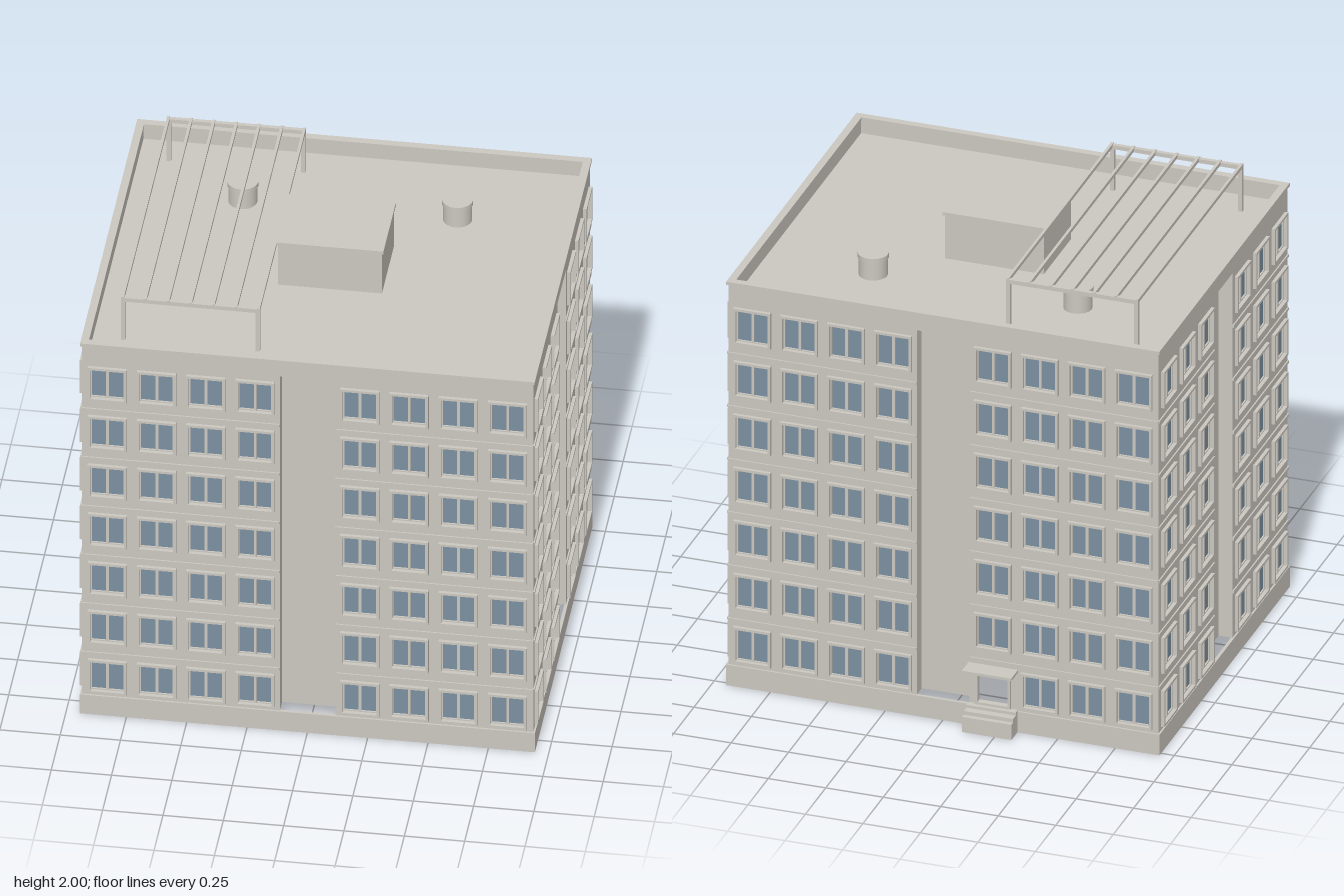
import * as THREE from 'three';
import { mergeGeometries } from 'three/addons/utils/BufferGeometryUtils.js';

const HX = 0.935, HZ = 0.795, CZ = 0.033;      // wall half sizes and z centre
const BASE = 0.095, TOP = 1.86, DECK = 1.785;
const RECESS = { w: 0.23, top: 1.775, depth: 0.06 };
const FLOORS = Array.from({ length: 7 }, (_, i) => 0.193 + i * 0.245);

const wallMat = new THREE.MeshStandardMaterial({ color: 0xcbc7c0 });
wallMat.name = 'warm grey concrete';
const glassMat = new THREE.MeshStandardMaterial({ color: 0x7b90a0 });
glassMat.name = 'blue grey glass';

function add(parent, name, geo, mat = wallMat) {
  const m = new THREE.Mesh(geo, mat);
  m.name = name;
  parent.add(m);
  return m;
}

// Box given by its min and max corners
function span(x0, x1, y0, y1, z0, z1) {
  return new THREE.BoxGeometry(x1 - x0, y1 - y0, z1 - z0)
    .translate((x0 + x1) / 2, (y0 + y1) / 2, (z0 + z1) / 2);
}

function rect(Type, x, y, w, h) {
  return new Type([[-1, -1], [1, -1], [1, 1], [-1, 1]]
    .map(([a, b]) => new THREE.Vector2(x + a * w / 2, y + b * h / 2)));
}

// Rectangular ring, extruded from z0 to z1
function ring(w, h, t, z0, z1) {
  const s = rect(THREE.Shape, 0, 0, w, h);
  s.holes.push(rect(THREE.Path, 0, 0, w - 2 * t, h - 2 * t));
  return new THREE.ExtrudeGeometry(s, { depth: z1 - z0, bevelEnabled: false }).translate(0, 0, z0);
}

// One facade, outer face on local z = 0, facing +z
function makeFacade(name, half, columns, doorX) {
  const g = new THREE.Group();
  g.name = name;
  const r = RECESS.w / 2, d = RECESS.depth;
  const shape = new THREE.Shape([
    [-half, BASE], [-r, BASE], [-r, RECESS.top], [r, RECESS.top],
    [r, BASE], [half, BASE], [half, TOP], [-half, TOP],
  ].map(p => new THREE.Vector2(...p)));

  const surround = ring(0.162, 0.166, 0.011, -0.018, 0.015);
  const sash = ring(0.142, 0.146, 0.006, -0.012, -0.002);
  const mullion = span(-0.006, 0.006, -0.07, 0.07, -0.012, -0.001);
  const pane = new THREE.BoxGeometry(0.14, 0.144, 0.006).translate(0, 0, -0.012);
  const frames = [], panes = [];
  FLOORS.forEach((y, f) => columns.forEach(x => {
    const isDoor = f === 0 && x === doorX;
    shape.holes.push(rect(THREE.Path, x, y - (isDoor ? 0.005 : 0), 0.14, isDoor ? 0.17 : 0.144));
    if (isDoor) return;
    for (const part of [surround, sash]) frames.push(part.clone().translate(x, y, 0));
    frames.push(mullion.clone().toNonIndexed().translate(x, y, 0));
    panes.push(pane.clone().translate(x, y, 0));
  }));
  add(g, 'wall', new THREE.ExtrudeGeometry(shape, { depth: 0.015, bevelEnabled: false }).translate(0, 0, -0.015));
  add(g, 'windowFrames', mergeGeometries(frames));
  add(g, 'windowGlass', mergeGeometries(panes), glassMat);

  // Sunken vertical strip with its sides and head
  add(g, 'recess', mergeGeometries([
    span(-r, r, BASE, RECESS.top, -d - 0.01, -d),
    span(-r - 0.008, -r, BASE, RECESS.top, -d - 0.01, -0.012),
    span(r, r + 0.008, BASE, RECESS.top, -d - 0.01, -0.012),
    span(-r - 0.008, r + 0.008, RECESS.top, RECESS.top + 0.008, -d - 0.01, -0.012),
  ]));

  // Ledges between the floors
  const ledges = [];
  for (let i = 0; i < FLOORS.length - 1; i++) {
    const y = FLOORS[i] + 0.112;
    ledges.push(span(-half, -r, y - 0.006, y + 0.006, -0.005, 0.006));
    ledges.push(span(r, half, y - 0.006, y + 0.006, -0.005, 0.006));
  }
  add(g, 'floorLedges', mergeGeometries(ledges));
  return g;
}

// Four thin bars around the building footprint
function band(out, thick, y0, y1) {
  const x = HX + out, z = HZ + out;
  return mergeGeometries([
    span(-x, x, y0, y1, z - thick, z), span(-x, x, y0, y1, -z, -z + thick),
    span(x - thick, x, y0, y1, -z + thick, z - thick), span(-x, -x + thick, y0, y1, -z + thick, z - thick),
  ]);
}

export function createModel() {
  const model = new THREE.Group();
  model.name = 'apartmentBlock';
  const block = new THREE.Group();
  block.name = 'block';
  block.position.z = CZ;
  model.add(block);

  // Facades
  const mirror = list => [...list.map(v => -v), ...list];
  const wide = mirror([0.217, 0.421, 0.625, 0.829]);
  const narrow = mirror([0.225, 0.452, 0.679]);
  const sides = [
    ['frontFacade', HX, wide, 0, 0, HZ],
    ['backFacade', HX, wide, Math.PI, 0, -HZ, 0.217],
    ['leftFacade', HZ, narrow, Math.PI / 2, HX, 0],
    ['rightFacade', HZ, narrow, -Math.PI / 2, -HX, 0],
  ];
  for (const [name, half, columns, turn, x, z, doorX] of sides) {
    const f = makeFacade(name, half, columns, doorX);
    f.rotation.y = turn;
    f.position.set(x, 0, z);
    block.add(f);
  }

  // Base, parapet and roof deck
  add(block, 'plinth', band(0.008, 0.014, 0, BASE));
  add(block, 'parapet', band(-0.001, 0.022, DECK - 0.005, TOP - 0.002));
  add(block, 'parapetCap', band(0.007, 0.033, TOP - 0.014, TOP));
  add(block, 'roofDeck', span(-HX + 0.01, HX - 0.01, DECK - 0.005, DECK, -HZ + 0.01, HZ - 0.01));

  // Back entrance: stepped porch, canopy and door surround
  add(model, 'entranceSteps', mergeGeometries([
    span(-0.325, -0.11, 0, 0.07, -0.843, -0.768),
    span(-0.325, -0.11, 0.07, 0.087, -0.822, -0.768),
    span(-0.325, -0.11, 0.087, 0.1, -0.79, -0.762),
  ]));
  add(model, 'entranceCanopy', span(-0.325, -0.11, 0.272, 0.284, -0.845, -0.755));
  add(model, 'doorFrame', ring(0.155, 0.178, 0.012, -0.772, -0.745).translate(-0.217, 0.188, 0));

  // Stair house on the roof
  add(model, 'stairHouse', span(-0.215, 0.215, DECK, 1.985, -0.135, 0.2));
  add(model, 'stairHouseRoof', span(-0.222, 0.222, 1.985, 2, -0.142, 0.206));

  // Roof vents
  for (const x of [-0.445, 0.445]) {
    const vent = new THREE.Group();
    vent.name = 'roofVent';
    vent.position.set(x, 0, -0.365);
    add(vent, 'ventPipe', new THREE.CylinderGeometry(0.06, 0.06, 0.09, 20).translate(0, DECK + 0.045, 0));
    add(vent, 'ventCap', new THREE.CylinderGeometry(0.064, 0.064, 0.022, 20).translate(0, 1.875, 0));
    model.add(vent);
  }

  // Pergola: posts, end beams and thin slats
  const pergola = new THREE.Group();
  pergola.name = 'pergola';
  model.add(pergola);
  const [x0, x1, z0, z1] = [-0.795, -0.22, -0.615, 0.68];
  const posts = [], beams = [], slats = [];
  for (const z of [z0, z1 - 0.018]) {
    beams.push(span(x0, x1, 1.978, 1.996, z, z + 0.018));
    for (const x of [x0, x1 - 0.018]) posts.push(span(x, x + 0.018, DECK, 1.978, z, z + 0.018));
  }
  for (let i = 0; i < 7; i++) {
    const x = x0 + 0.006 + i * (x1 - x0 - 0.012) / 6;
    slats.push(span(x - 0.006, x + 0.006, 1.984, 2, z0, z1));
  }
  add(pergola, 'pergolaPosts', mergeGeometries(posts));
  add(pergola, 'pergolaBeams', mergeGeometries(beams));
  add(pergola, 'pergolaSlats', mergeGeometries(slats));
  return model;
}
